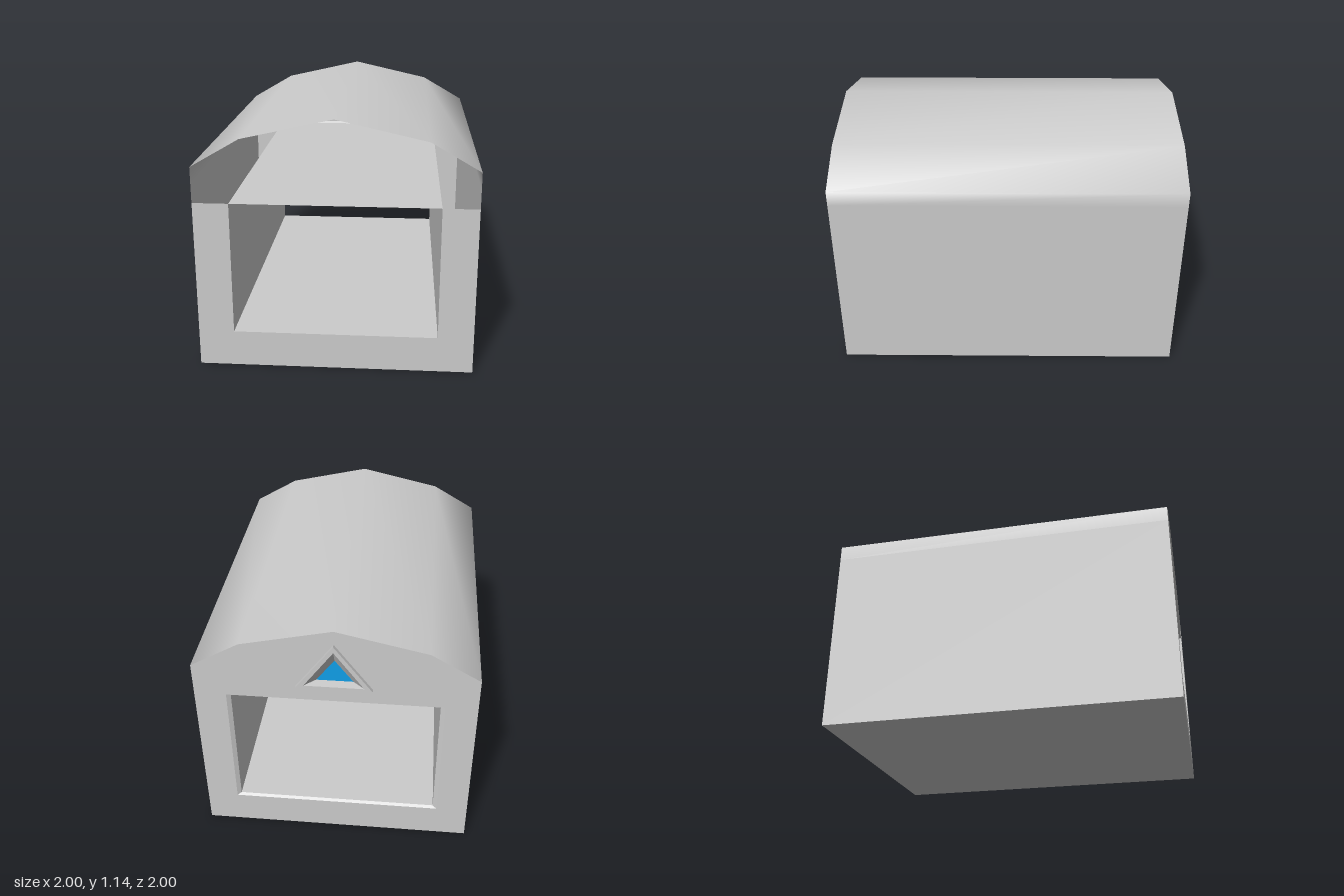
import * as THREE from 'three';
import { toCreasedNormals } from 'three/addons/utils/BufferGeometryUtils.js';

const W = 0.615, L = 0.797; // half width, half length
const CEIL = 0.77;

const grey = new THREE.MeshStandardMaterial({ color: 0xcccccc, side: THREE.DoubleSide });
const blue = new THREE.MeshStandardMaterial({ color: 0x109fe8, side: THREE.DoubleSide });

// Outline of the barn-like cross-section, from one foot over the ridge to the other
const half = [[W, 0], [W, 0.86], [W, 0.93], [0.4, 1.055]];
const profile = [...half, [0, 1.145], ...half.map(([x, y]) => [-x, y]).reverse()];

const rect = (w, y0, y1) => [[-w, y0], [w, y0], [w, y1], [-w, y1]];
const triangle = (w, y0, y1) => [[-w, y0], [w, y0], [0, y1]];
const points = (list) => list.map(([x, y]) => new THREE.Vector2(x, y));

function shape(outline, ...holes) {
  const s = new THREE.Shape(points(outline));
  s.holes = holes.map((h) => new THREE.Path(points(h)));
  return s;
}

// Strip of quads joining the same-length outlines a (at za) and b (at zb)
function loft(a, za, b, zb, closed = true) {
  const pos = [];
  const n = closed ? a.length : a.length - 1;
  for (let i = 0; i < n; i++) {
    const j = (i + 1) % a.length;
    const p = [...a[i], za], q = [...a[j], za], r = [...b[j], zb], s = [...b[i], zb];
    pos.push(...p, ...q, ...r, ...p, ...r, ...s);
  }
  const g = new THREE.BufferGeometry();
  g.setAttribute('position', new THREE.Float32BufferAttribute(pos, 3));
  g.computeVertexNormals();
  return g;
}

export function createModel() {
  const model = new THREE.Group();
  model.name = 'shelter';
  const body = new THREE.Group();
  body.name = 'body';
  body.rotation.y = Math.PI * 0.75; // the building stands diagonally
  model.add(body);

  function add(name, geometry, z = 0, material = grey) {
    const mesh = new THREE.Mesh(geometry, material);
    mesh.name = name;
    mesh.position.z = z;
    body.add(mesh);
    return mesh;
  }

  // Side walls and softly shaded roof in one shell
  add('wallsAndRoof', toCreasedNormals(loft(profile, L, profile, -L, false), 1.1));

  // Underside
  const base = new THREE.PlaneGeometry(2 * W, 2 * L);
  base.rotateX(Math.PI / 2);
  add('base', base);

  // Passage running through the building, with a chamfered mouth at the gable
  const passage = rect(0.456, 0.165, CEIL);
  const mouth = rect(0.474, 0.157, 0.78);
  add('passage', loft(passage, -L, passage, L - 0.012));
  add('passageChamfer', loft(passage, L - 0.012, mouth, L));

  // Gable wall with the passage mouth and a hole for the sign
  const signHole = triangle(0.13, 0.87, 1.05);
  add('gableWall', new THREE.ShapeGeometry(shape(profile, mouth, signHole)), L);

  // Opposite end: a wall around the passage, with the loft above left open
  const o = 0.456;
  const endWall = new THREE.ShapeGeometry(shape([
    [-W, 0], [W, 0], [W, CEIL], [o, CEIL], [o, 0.165], [-o, 0.165], [-o, CEIL], [-W, CEIL],
  ]));
  endWall.rotateY(Math.PI);
  add('openEndWall', endWall, -L);

  // Triangular sign: raised frame, tapering recess and blue panel
  const panel = triangle(0.08, 0.873, 0.98);
  add('signFrame', new THREE.ExtrudeGeometry(
    shape(triangle(0.165, 0.855, 1.08), signHole), { depth: 0.018, bevelEnabled: false }), L);
  add('signRecess', loft(panel, L - 0.024, signHole, L + 0.017));
  add('signPanel', new THREE.ShapeGeometry(shape(panel)), L - 0.024, blue);

  return model;
}
